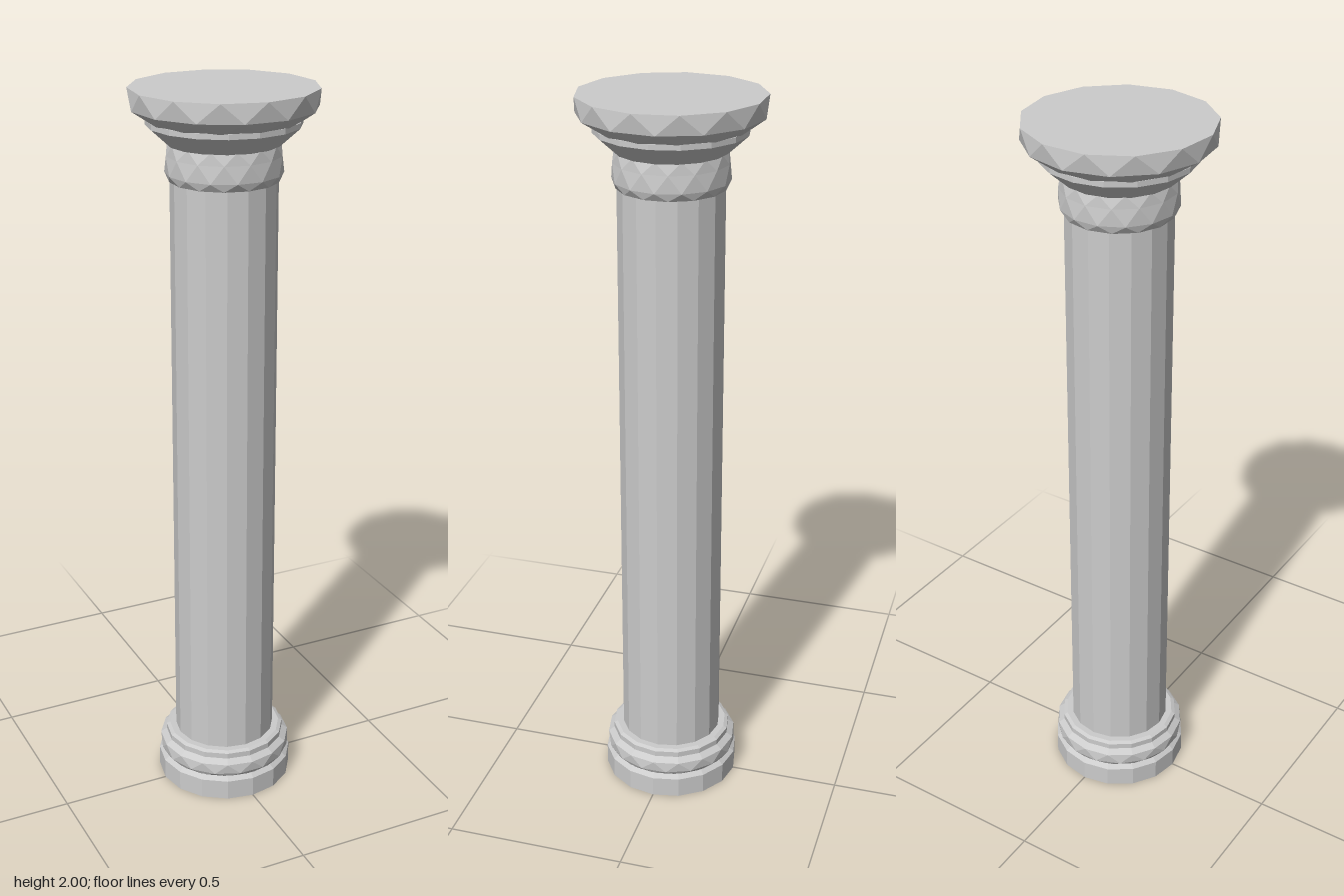
import * as THREE from 'three';

const material = new THREE.MeshStandardMaterial({ color: 0xcccccc, flatShading: true });

// Faceted turning: rows are [radius, y, twist], twist counted in half facets
function turned(name, sides, rows) {
  const points = rows.map(([r, y]) => new THREE.Vector2(r, y));
  const geometry = new THREE.LatheGeometry(points, sides);
  const pos = geometry.attributes.position;
  for (let i = 0; i < pos.count; i++) {
    const a = rows[i % rows.length][2] * Math.PI / sides;
    const x = pos.getX(i), z = pos.getZ(i);
    pos.setX(i, x * Math.cos(a) + z * Math.sin(a));
    pos.setZ(i, z * Math.cos(a) - x * Math.sin(a));
  }
  geometry.computeVertexNormals();
  const mesh = new THREE.Mesh(geometry, material);
  mesh.name = name;
  return mesh;
}

export function createModel() {
  const column = new THREE.Group();
  column.name = 'column';

  // Base: plinth disc, rounded moulding and a thin top fillet
  column.add(turned('plinth', 16, [
    [0, 0, 0], [0.192, 0, 0], [0.192, 0.058, 0], [0.178, 0.07, 0], [0, 0.07, 0],
  ]));
  column.add(turned('baseMoulding', 16, [
    [0.176, 0.065, 0], [0.187, 0.08, 1], [0.187, 0.11, 2], [0.17, 0.122, 2],
    [0.17, 0.138, 2], [0.16, 0.143, 2], [0.12, 0.143, 2],
  ]));

  // Plain shaft
  column.add(turned('shaft', 16, [[0.142, 0.13, 0], [0.14, 1.79, 0]]));

  // Neck ring with staggered facets
  column.add(turned('neckRing', 14, [
    [0.13, 1.763, 0], [0.143, 1.764, 0], [0.153, 1.785, 1], [0.151, 1.83, 2],
    [0.145, 1.862, 3], [0.1, 1.862, 3],
  ]));

  // Flared capital
  column.add(turned('capitalFlare', 16, [
    [0.1, 1.858, 0], [0.147, 1.858, 0], [0.2, 1.906, 0], [0.2, 1.92, 0], [0.15, 1.922, 0],
  ]));

  // Broad top slab
  column.add(turned('topSlab', 13, [
    [0.15, 1.916, 0], [0.198, 1.918, 0], [0.242, 1.95, 1], [0.244, 2, 2], [0, 2, 2],
  ]));

  return column;
}
